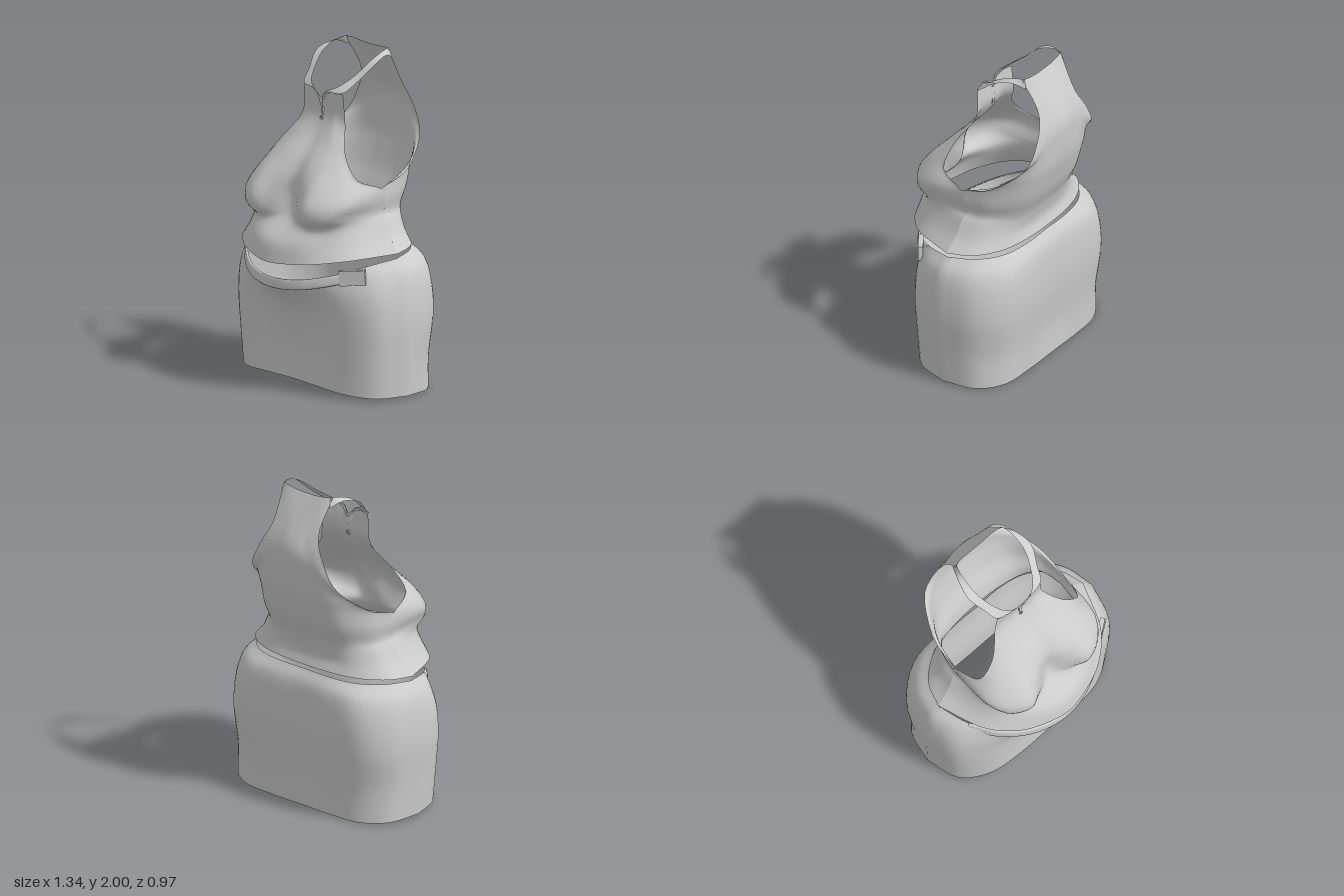
import * as THREE from 'three';
import { mergeGeometries, mergeVertices } from 'three/addons/utils/BufferGeometryUtils.js';

// Smooth sheet through rows of points; each row runs from the centre line to one side and is mirrored.
function sheet(rows, facing, nu = 40, nv = 36) {
  const across = rows.map(row => {
    const side = row.map(p => new THREE.Vector3(...p));
    const other = side.slice(1).reverse().map(p => new THREE.Vector3(-p.x, p.y, p.z));
    const pts = [...other, ...side];
    if (facing < 0) pts.reverse();
    return new THREE.CatmullRomCurve3(pts, false, 'catmullrom', 0.5).getPoints(nu);
  });
  const pos = [], idx = [], w = nu + 1;
  const columns = across[0].map((_, j) =>
    new THREE.CatmullRomCurve3(across.map(r => r[j]), false, 'catmullrom', 0.5).getPoints(nv));
  for (let i = 0; i <= nv; i++) {
    for (let j = 0; j <= nu; j++) {
      pos.push(...columns[j][i].toArray());
      if (i < nv && j < nu) {
        const a = i * w + j;
        idx.push(a, a + 1, a + w + 1, a, a + w + 1, a + w);
      }
    }
  }
  const g = new THREE.BufferGeometry();
  g.setAttribute('position', new THREE.Float32BufferAttribute(pos, 3));
  g.setIndex(idx);
  g.computeVertexNormals();
  return g;
}

// Front and back sheets welded along the side seams.
function weld(front, back) {
  const both = mergeGeometries([front, back]);
  both.deleteAttribute('normal');
  const g = mergeVertices(both, 0.002);
  g.computeVertexNormals();
  return g;
}

// Top, front: hem, waist, bust, up to the bottom of the armholes
const frontBodice = [
  [[0, .80, .49], [.16, .81, .46], [.32, .83, .39], [.47, .855, .24], [.575, .87, -.03]],
  [[0, .92, .45], [.15, .92, .43], [.29, .93, .36], [.42, .94, .22], [.50, .95, -.04]],
  [[0, 1.02, .34], [.14, 1.01, .365], [.26, 1.01, .34], [.38, 1.03, .23], [.45, 1.04, -.05]],
  [[0, 1.08, .30], [.12, 1.07, .36], [.24, 1.07, .40], [.385, 1.09, .29], [.42, 1.09, -.06]],
  [[0, 1.16, .28], [.12, 1.16, .35], [.25, 1.16, .40], [.42, 1.17, .25], [.43, 1.17, -.06]],
  [[0, 1.27, .27], [.12, 1.27, .31], [.25, 1.27, .32], [.40, 1.25, .20], [.43, 1.24, -.03]],
];
// Top, front: narrowing between the armholes to the neck
const frontYoke = [
  [[0, 1.38, .21], [.11, 1.38, .23], [.22, 1.37, .225], [.32, 1.345, .19], [.39, 1.31, .125]],
  [[0, 1.50, .11], [.08, 1.50, .12], [.15, 1.49, .13], [.22, 1.47, .125], [.28, 1.44, .12]],
  [[0, 1.62, .05], [.05, 1.62, .05], [.10, 1.62, .05], [.14, 1.61, .045], [.19, 1.59, .04]],
  [[0, 1.71, .05], [.04, 1.75, .06], [.08, 1.77, .055], [.12, 1.775, .05], [.17, 1.77, .04]],
];
// Top, back
const backBodice = [
  [[0, .89, -.35], [.20, .89, -.34], [.38, .885, -.29], [.52, .88, -.18], [.575, .87, -.03]],
  [[0, .96, -.33], [.18, .96, -.32], [.34, .96, -.28], [.46, .95, -.18], [.50, .95, -.04]],
  [[0, 1.04, -.345], [.16, 1.04, -.335], [.30, 1.04, -.29], [.41, 1.04, -.19], [.45, 1.04, -.05]],
  [[0, 1.10, -.365], [.16, 1.10, -.355], [.29, 1.10, -.31], [.39, 1.09, -.19], [.42, 1.09, -.06]],
  [[0, 1.20, -.41], [.16, 1.20, -.40], [.30, 1.19, -.345], [.40, 1.18, -.21], [.43, 1.17, -.06]],
  [[0, 1.32, -.445], [.16, 1.32, -.435], [.30, 1.31, -.375], [.40, 1.28, -.22], [.43, 1.24, -.03]],
];
const backYoke = [
  [[0, 1.42, -.47], [.14, 1.42, -.46], [.27, 1.41, -.42], [.37, 1.38, -.33], [.425, 1.31, -.23]],
  [[0, 1.55, -.48], [.10, 1.55, -.47], [.20, 1.54, -.46], [.28, 1.51, -.45], [.335, 1.47, -.42]],
  [[0, 1.68, -.475], [.06, 1.68, -.47], [.12, 1.67, -.46], [.19, 1.66, -.455], [.25, 1.63, -.45]],
  [[0, 1.82, -.41], [.04, 1.82, -.41], [.09, 1.81, -.41], [.13, 1.80, -.41], [.175, 1.79, -.41]],
  [[0, 1.985, -.32], [.05, 1.985, -.32], [.10, 1.99, -.32], [.15, 1.995, -.315], [.19, 1.995, -.30]],
];
// Collar strap: lower and upper edge, from the front point around to the back
const collarEdges = [
  [[0, 1.66, .055], [.04, 1.76, .068], [.17, 1.78, .045], [.21, 1.84, -.03], [.245, 1.91, -.10],
    [.25, 1.95, -.16], [.225, 1.97, -.25], [.19, 1.94, -.33]],
  [[0, 1.73, .06], [.05, 1.775, .07], [.12, 1.81, .03], [.17, 1.87, -.05], [.195, 1.93, -.12],
    [.20, 1.965, -.18], [.195, 1.99, -.25], [.18, 2.0, -.31]],
];
// Skirt, hem to waist
const skirtFront = [
  [[0, .05, .29], [.22, .045, .29], [.42, .03, .26], [.58, .015, .15], [.64, .01, -.05]],
  [[0, .25, .28], [.22, .25, .285], [.43, .24, .265], [.595, .23, .16], [.655, .22, -.04]],
  [[0, .45, .31], [.22, .45, .30], [.44, .45, .27], [.61, .45, .165], [.67, .45, -.03]],
  [[0, .56, .36], [.22, .58, .34], [.43, .60, .28], [.60, .62, .16], [.66, .63, -.03]],
  [[0, .64, .43], [.21, .66, .39], [.40, .70, .29], [.56, .74, .15], [.63, .76, -.03]],
  [[0, .70, .45], [.20, .715, .41], [.38, .76, .30], [.50, .81, .15], [.565, .84, -.03]],
];
const skirtBack = [
  [[0, 0, -.38], [.24, 0, -.38], [.44, 0, -.36], [.59, .005, -.25], [.64, .01, -.05]],
  [[0, .20, -.375], [.24, .20, -.385], [.45, .20, -.36], [.60, .21, -.24], [.655, .22, -.04]],
  [[0, .45, -.40], [.24, .45, -.41], [.47, .45, -.385], [.62, .45, -.25], [.67, .45, -.03]],
  [[0, .64, -.40], [.24, .64, -.41], [.46, .64, -.385], [.61, .64, -.24], [.66, .63, -.03]],
  [[0, .78, -.385], [.23, .78, -.39], [.43, .775, -.36], [.575, .77, -.22], [.63, .76, -.03]],
  [[0, .86, -.34], [.20, .86, -.34], [.37, .855, -.30], [.50, .85, -.19], [.565, .84, -.03]],
];

export function createModel() {
  const model = new THREE.Group();
  const cloth = new THREE.MeshStandardMaterial({ color: 0xcccccc, side: THREE.DoubleSide });
  cloth.name = 'light grey cloth';
  const add = (name, geometry) => {
    const m = new THREE.Mesh(geometry, cloth);
    m.name = name;
    model.add(m);
    return m;
  };

  add('halterTop', weld(sheet([...frontBodice, ...frontYoke], 1), sheet([...backBodice, ...backYoke], -1)));
  add('collarStrap', sheet(collarEdges, 1, 56, 3));
  add('skirt', weld(sheet(skirtFront, 1), sheet(skirtBack, -1)));

  // Front waistband: a raised strip following the skirt's upper edge
  const edge = skirtFront[5].slice(0, 4);
  const shift = (k, dy, dz) => edge.map(([x, y, z]) => [x * k, y + dy, z + dz]);
  add('waistband', sheet([shift(1.01, -.06, .002), shift(1.03, -.055, .016), shift(1.015, -.004, .012), shift(1, .001, 0)], 1, 40, 9));

  // Buckle on the left of the waistband
  const buckle = add('buckle', new THREE.BoxGeometry(.16, .09, .03));
  buckle.position.set(.47, .75, .235);
  buckle.rotation.set(0, .62, .09);

  // Zip pull under the collar point
  const pull = add('zipPull', new THREE.BoxGeometry(.014, .06, .01));
  pull.position.set(0, 1.635, .05);
  const ring = add('zipRing', new THREE.TorusGeometry(.01, .003, 6, 12));
  ring.position.set(0, 1.6, .06);
  return model;
}
